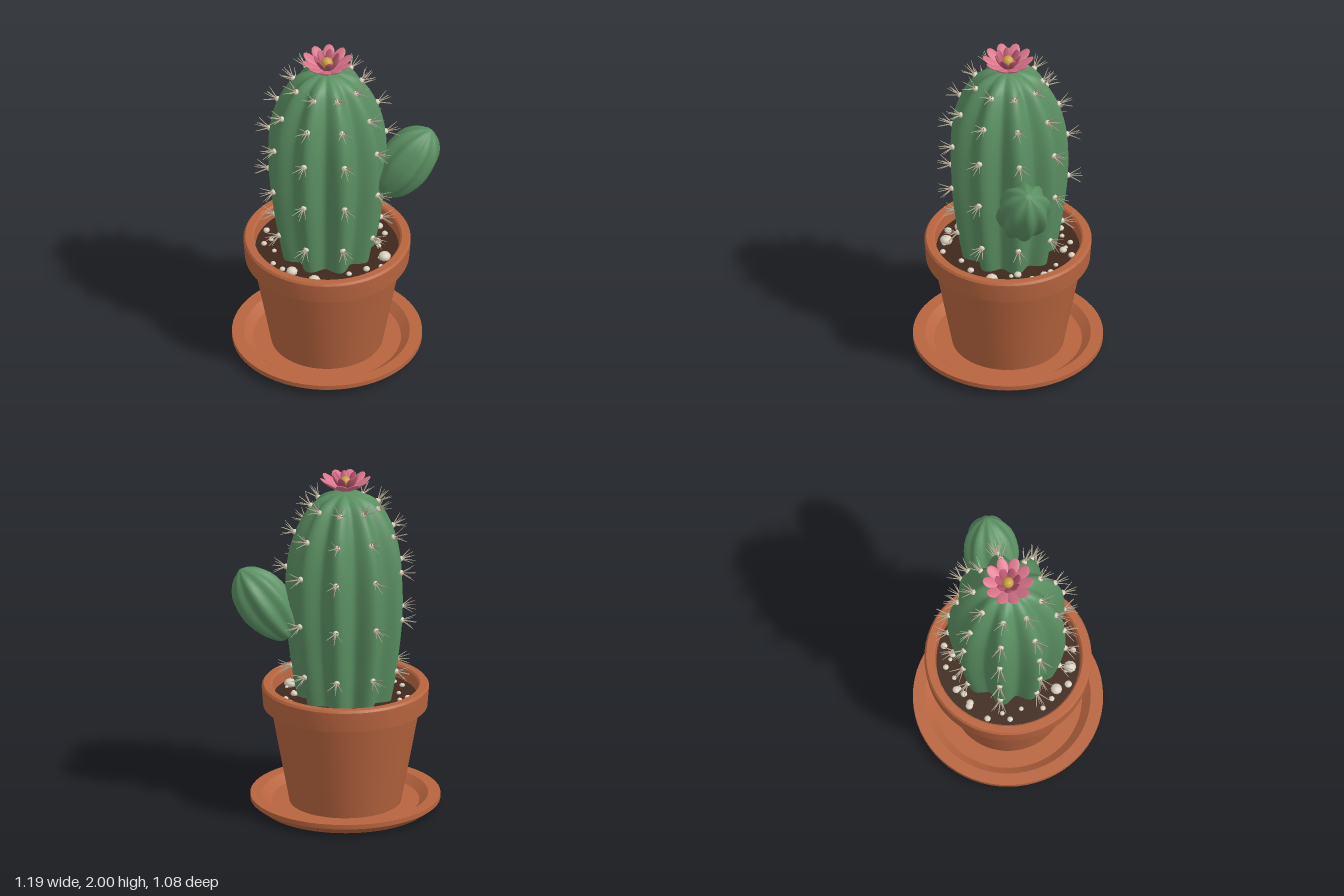
import * as THREE from 'three';
import { mergeGeometries, mergeVertices, toCreasedNormals } from 'three/addons/utils/BufferGeometryUtils.js';

const mat = (name, color, side = THREE.FrontSide) => {
  const m = new THREE.MeshStandardMaterial({ color, side });
  m.name = name;
  return m;
};
const V2 = (p) => new THREE.Vector2(p[0], p[1]);
const UP = new THREE.Vector3(0, 1, 0);

function part(name, geometry, material, parent) {
  const mesh = new THREE.Mesh(geometry, material);
  mesh.name = name;
  parent.add(mesh);
  return mesh;
}

// Turned part with sharp edges
function turned(points) {
  return toCreasedNormals(new THREE.LatheGeometry(points.map(V2), 64), 0.5);
}

// Lathe whose radius swells at every rib
function ribbed(curve, ribs, depth, steps, segments, sharp) {
  let g = new THREE.LatheGeometry(curve.getPoints(steps), segments);
  const p = g.attributes.position;
  for (let i = 0; i < p.count; i++) {
    const a = Math.atan2(p.getZ(i), p.getX(i));
    const k = 1 - depth * (1 - Math.pow(0.5 + 0.5 * Math.cos(ribs * a), sharp));
    p.setX(i, p.getX(i) * k);
    p.setZ(i, p.getZ(i) * k);
  }
  g.deleteAttribute('uv');
  g.deleteAttribute('normal');
  g = mergeVertices(g, 1e-5);
  g.computeVertexNormals();
  return g;
}

export function createModel() {
  const clay = mat('terracotta', 0xb8653f);
  const earth = mat('soil', 0x3f281c);
  const green = mat('cactus green', 0x5a8f62);
  const cream = mat('areole cream', 0xd9d0bc);
  const spineMat = mat('spine', 0xb5aa94);
  const stone = mat('pebble', 0xd8d0be);
  const pink = mat('petal pink', 0xd9748a);
  const rose = mat('inner petal rose', 0xb9566f);
  const gold = mat('flower heart', 0xc9a040);

  const model = new THREE.Group();
  model.name = 'pottedCactus';
  const plant = new THREE.Group();
  plant.name = 'pottedPlant';
  plant.position.x = -0.045;
  model.add(plant);

  // Saucer, pot and soil
  part('saucer', turned([[0, 0], [0.48, 0], [0.54, 0.045], [0.54, 0.072], [0.47, 0.072],
    [0.42, 0.03], [0, 0.03]]), clay, plant);
  part('pot', turned([[0, 0.03], [0.318, 0.03], [0.425, 0.605], [0.467, 0.605], [0.475, 0.71], [0.475, 0.722],
    [0.465, 0.735], [0.425, 0.735], [0.415, 0.725], [0.405, 0.64]]), clay, plant);
  part('soil', new THREE.CylinderGeometry(0.407, 0.39, 0.04, 48).translate(0, 0.64, 0), earth, plant);

  // Pebbles: a few large ones, then a scatter of small ones
  let seed = 7;
  const rand = () => (seed = (seed * 16807) % 2147483647) / 2147483647;
  const spots = [[-0.115, 0.335, 0.036], [-0.23, 0.232, 0.033], [0.31, 0.155, 0.036],
    [-0.115, -0.325, 0.022], [-0.21, -0.265, 0.022], [0.1, -0.3, 0.022]];
  for (let i = 0; i < 30; i++) {
    const a = i * 2.4, r = 0.29 + 0.09 * rand();
    spots.push([r * Math.cos(a), r * Math.sin(a), 0.01 + 0.013 * rand()]);
  }
  part('pebbles', mergeGeometries(spots.map(([x, z, r]) =>
    new THREE.SphereGeometry(r, 10, 8).scale(1, 0.75, 1).translate(x, 0.66 + r * 0.4, z))), stone, plant);

  // Main stem
  const profile = [[0.27, 0.64], [0.305, 0.84], [0.34, 1.155], [0.335, 1.44], [0.287, 1.65],
    [0.197, 1.81], [0.1, 1.872], [0, 1.89]];
  const curve = new THREE.SplineCurve(profile.map(V2));
  part('stem', ribbed(curve, 9, 0.2, 42, 108, 0.9), green, plant);

  // Areoles and spines along each rib
  const areoles = [], spines = [];
  for (let rib = 0; rib < 9; rib++) {
    for (let level = 1; level <= 5; level++) {
      if (rib === 0 && level === 2) continue; // the side arm grows here
      const [r, y] = profile[level];
      const t = curve.getTangent(level / (profile.length - 1));
      const a = rib * Math.PI * 2 / 9;
      const out = new THREE.Vector3(t.y * Math.cos(a), -t.x, t.y * Math.sin(a)).normalize();
      const base = new THREE.Vector3(r * Math.cos(a), y, r * Math.sin(a));
      areoles.push(new THREE.SphereGeometry(0.017, 10, 8).translate(base.x, base.y, base.z));
      const side = new THREE.Vector3(-Math.sin(a), 0, Math.cos(a));
      const along = new THREE.Vector3().crossVectors(out, side);
      for (let k = 0; k < 6; k++) {
        const b = k * Math.PI * 2 / 5 + 0.3, tilt = k === 5 ? 0 : 0.62;
        const dir = out.clone()
          .addScaledVector(side, tilt * Math.cos(b))
          .addScaledVector(along, tilt * Math.sin(b)).normalize();
        spines.push(new THREE.CylinderGeometry(0.0015, 0.004, 0.085, 5)
          .translate(0, 0.0425, 0)
          .applyQuaternion(new THREE.Quaternion().setFromUnitVectors(UP, dir))
          .translate(base.x, base.y, base.z));
      }
    }
  }
  part('areoles', mergeGeometries(areoles), cream, plant);
  part('spines', mergeGeometries(spines), spineMat, plant);

  // Side arm leaning out to the left
  const armCurve = new THREE.SplineCurve([[0, 0], [0.06, 0.015], [0.115, 0.08], [0.15, 0.18],
    [0.157, 0.27], [0.135, 0.38], [0.075, 0.46], [0, 0.5]].map(V2));
  const arm = part('sideArm', ribbed(armCurve, 8, 0.16, 18, 48, 1), green, plant);
  arm.position.set(0.315, 1.015, 0);
  arm.rotation.z = -Math.atan2(0.57, 0.82);

  // Flower: two rings of cupped petals around a round heart
  const flower = new THREE.Group();
  flower.name = 'flower';
  flower.position.y = 1.885;
  plant.add(flower);
  const petalRing = (name, count, length, width, lift, material, turn) => {
    for (let i = 0; i < count; i++) {
      const g = new THREE.SphereGeometry(1, 14, 10).scale(length / 2, 0.009, width / 2);
      const p = g.attributes.position;
      for (let j = 0; j < p.count; j++) {
        const u = p.getX(j) / length + 0.5;
        p.setZ(j, p.getZ(j) * (0.65 + 0.5 * u)); // broader toward the tip
        p.setY(j, p.getY(j) + length * 0.12 * (u - 0.5) ** 2);
      }
      g.computeVertexNormals();
      g.translate(length / 2, 0, 0).rotateZ(lift).translate(0.015, 0.012, 0)
        .rotateY(turn + i * Math.PI * 2 / count);
      part(name, g, material, flower);
    }
  };
  petalRing('outerPetal', 10, 0.153, 0.074, 0.52, pink, 0.1);
  petalRing('innerPetal', 7, 0.115, 0.052, 1.0, rose, 0.3);
  part('flowerHeart', new THREE.SphereGeometry(0.033, 18, 12).translate(0, 0.065, 0), gold, flower);

  return model;
}
